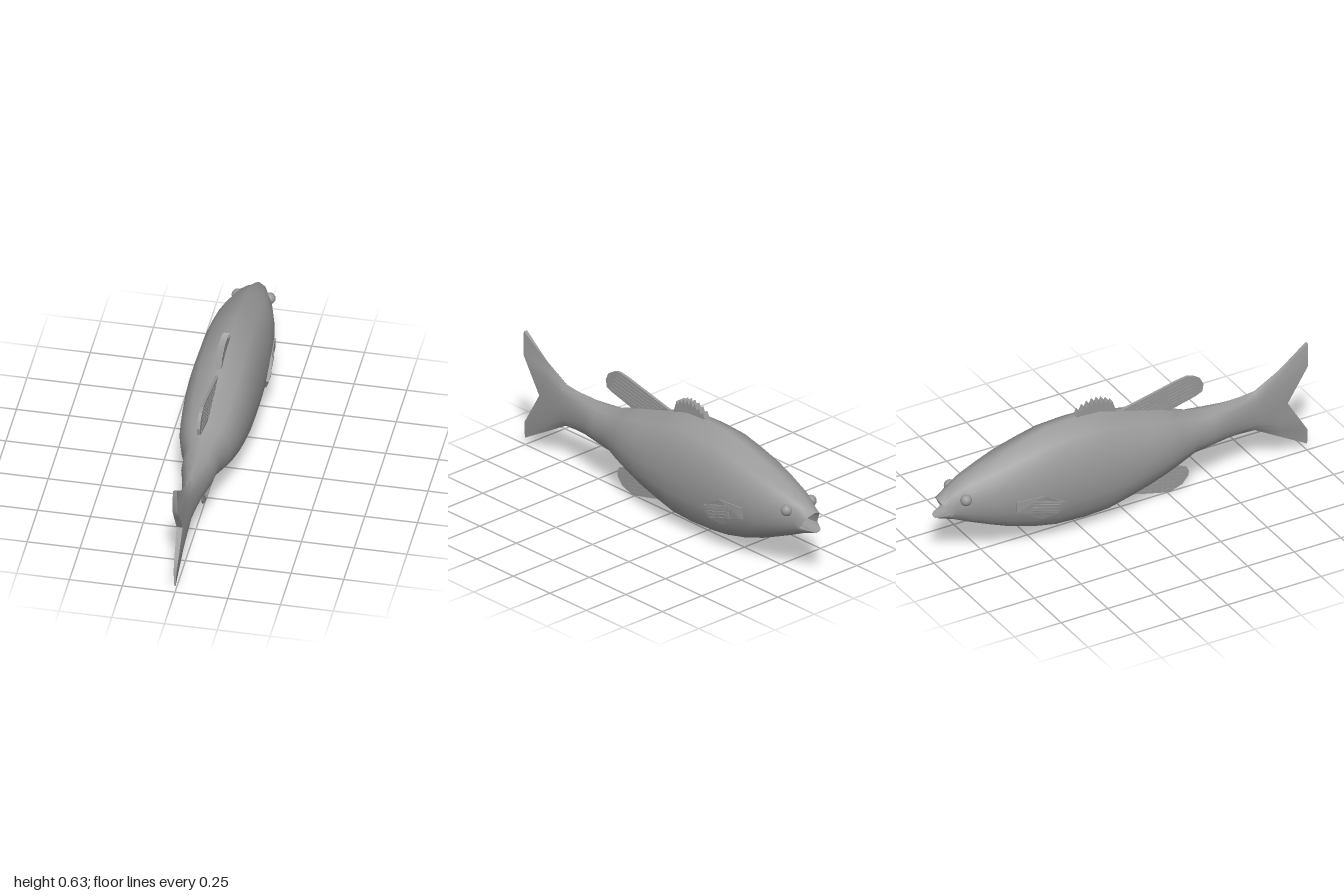
import * as THREE from 'three';
import { toCreasedNormals } from 'three/addons/utils/BufferGeometryUtils.js';

const grey = new THREE.MeshStandardMaterial({ color: 0x999999 });
grey.name = 'grey';

function add(parent, name, geometry) {
  const mesh = new THREE.Mesh(geometry, grey);
  mesh.name = name;
  parent.add(mesh);
  return mesh;
}

// Half a cross-section, bottom to top: [relative width, relative height]
const SECTION = [[0.08, -1], [0.6, -0.82], [0.82, -0.6], [0.95, -0.33], [1, 0],
  [0.95, 0.33], [0.82, 0.6], [0.6, 0.82], [0.08, 1]];

// Body stations: [z, bottom y, top y, half width]
const STATIONS = [
  [-0.915, 0.225, 0.39, 0.068], [-0.84, 0.19, 0.43, 0.097], [-0.74, 0.147, 0.467, 0.125],
  [-0.64, 0.105, 0.503, 0.144], [-0.52, 0.065, 0.538, 0.155], [-0.4, 0.037, 0.568, 0.161],
  [-0.25, 0.03, 0.576, 0.164], [-0.12, 0.037, 0.57, 0.164], [0, 0.072, 0.532, 0.16],
  [0.1, 0.102, 0.503, 0.152], [0.2, 0.135, 0.475, 0.138], [0.28, 0.163, 0.445, 0.117],
  [0.37, 0.192, 0.413, 0.085], [0.46, 0.203, 0.402, 0.078], [0.55, 0.206, 0.4, 0.055],
  [0.64, 0.205, 0.403, 0.04], [0.72, 0.2, 0.412, 0.03], [0.85, 0.125, 0.485, 0.02],
];

// Open lips: the lower jaw juts out, the upper lip slants forward from the corner
const LIPS = [[0.004, 0.255, -1], [0.02, 0.261, -1], [0.032, 0.266, -0.985],
  [0.045, 0.268, -0.955], [0.056, 0.269, -0.935], [0.053, 0.29, -0.947],
  [0.047, 0.315, -0.96], [0.036, 0.336, -0.975], [0.006, 0.35, -0.985]];

// Forked trailing edge of the tail
const FORK = [[0.003, 0.04, 1], [0.007, 0.12, 1], [0.01, 0.18, 0.963], [0.012, 0.24, 0.926],
  [0.014, 0.3, 0.89], [0.014, 0.357, 0.926], [0.013, 0.413, 0.963], [0.012, 0.47, 1], [0.01, 0.59, 1]];

function bodyGeometry() {
  const throat = LIPS.map(([x, y]) => [x * 0.7, 0.288 + (y - 0.288) * 0.6, -0.88]);
  const halves = [throat, LIPS];
  for (const [z, low, high, w] of STATIONS) {
    const mid = (low + high) / 2, h = (high - low) / 2;
    halves.push(SECTION.map(([fx, fy]) => [fx * w, mid + fy * h, z]));
  }
  halves.push(FORK);

  const n = 18, points = [], index = [];
  for (const half of halves) {
    points.push(...half.flat());
    points.push(...half.slice().reverse().map(([x, y, z]) => [-x, y, z]).flat());
  }
  for (let k = 0; k < halves.length - 1; k++) {
    for (let i = 0; i < n; i++) {
      const a = k * n + i, b = k * n + (i + 1) % n;
      index.push(a, b, a + n, b, b + n, a + n);
    }
  }
  // Close the throat and the tail edge across the middle
  const last = (halves.length - 1) * n;
  for (let i = 0; i < 8; i++) {
    const j = n - 1 - i;
    index.push(last + i, last + i + 1, last + j - 1, last + i, last + j - 1, last + j);
    index.push(i, j - 1, i + 1, i, j, j - 1);
  }
  const g = new THREE.BufferGeometry();
  g.setAttribute('position', new THREE.Float32BufferAttribute(points, 3));
  g.setIndex(index);
  return toCreasedNormals(g, 0.75);
}

// Upright plate from a [z, y] outline, centred on x = 0
function plate(outline, thickness) {
  const shape = new THREE.Shape(outline.map(([z, y]) => new THREE.Vector2(z, y)));
  const g = new THREE.ExtrudeGeometry(shape, { depth: thickness, bevelEnabled: false });
  return g.translate(0, 0, -thickness / 2).rotateY(-Math.PI / 2);
}

// Thin fin ray between two [z, y] points
function ray([z1, y1], [z2, y2], thickness) {
  const g = new THREE.BoxGeometry(Math.hypot(z2 - z1, y2 - y1), 0.007, thickness);
  g.rotateZ(Math.atan2(y2 - y1, z2 - z1));
  return g.translate((z1 + z2) / 2, (y1 + y2) / 2, 0).rotateY(-Math.PI / 2);
}

// Plate with evenly fanned rays; roots and tips are each a pair of end points
function rayedFin(parent, name, outline, thickness, roots, tips, count, bend = (g) => g) {
  const fin = new THREE.Group();
  fin.name = name;
  add(fin, name + 'Web', bend(plate(outline, thickness)));
  const mix = ([a, b], t) => [a[0] + (b[0] - a[0]) * t, a[1] + (b[1] - a[1]) * t];
  for (let i = 0; i < count; i++) {
    const t = i / (count - 1);
    add(fin, name + 'Ray', bend(ray(mix(roots, t), mix(tips, t), thickness + 0.005)));
  }
  parent.add(fin);
}

export function createModel() {
  const fish = new THREE.Group();
  fish.name = 'fish';
  add(fish, 'body', bodyGeometry());

  // Spiny front dorsal fin with a saw-toothed crest
  const crest = new THREE.QuadraticBezierCurve(
    new THREE.Vector2(-0.04, 0.585), new THREE.Vector2(-0.13, 0.665), new THREE.Vector2(-0.245, 0.588));
  const spiny = [[-0.26, 0.55], [-0.03, 0.5], [-0.03, 0.54]];
  for (let i = 0; i <= 16; i++) {
    const p = crest.getPoint(i / 16);
    spiny.push([p.x, p.y + (i % 2 ? 0.01 : -0.014)]);
  }
  add(fish, 'spinyDorsalFin', plate(spiny, 0.03));

  // Soft rear dorsal fin and anal fin
  rayedFin(fish, 'rearDorsalFin',
    [[0, 0.5], [0.21, 0.44], [0.4, 0.488], [0.435, 0.503], [0.442, 0.54], [0.425, 0.575],
      [0.39, 0.597], [0.355, 0.606], [0.3, 0.598], [0, 0.53]],
    0.014, [[0.17, 0.465], [0.05, 0.525]], [[0.41, 0.505], [0.36, 0.59]], 6);
  rayedFin(fish, 'analFin',
    [[0, 0.07], [0.12, 0.038], [0.26, 0.004], [0.33, 0.028], [0.362, 0.065], [0.366, 0.09],
      [0.352, 0.115], [0.3, 0.134], [0.2, 0.16], [0, 0.12]],
    0.008, [[0.05, 0.068], [0.17, 0.13]], [[0.27, 0.018], [0.345, 0.1]], 6);

  // Side fins sheared to hug the flanks, and the eyes
  for (const side of [1, -1]) {
    const name = side > 0 ? 'left' : 'right';
    const hug = (g) => {
      const p = g.attributes.position;
      for (let i = 0; i < p.count; i++) {
        const drop = Math.max(0, 0.24 - p.getY(i)) * 0.3;
        p.setX(i, p.getX(i) + side * (0.157 + (p.getZ(i) + 0.4) * 0.09 - drop));
      }
      g.computeVertexNormals();
      return g;
    };
    rayedFin(fish, name + 'PectoralFin',
      [[-0.64, 0.245], [-0.5, 0.165], [-0.42, 0.175], [-0.385, 0.235], [-0.5, 0.302], [-0.64, 0.302]],
      0.028, [[-0.56, 0.22], [-0.56, 0.285]], [[-0.43, 0.18], [-0.41, 0.245]], 5, hug);

    const eye = add(fish, name + 'Eye', new THREE.SphereGeometry(0.028, 16, 10));
    eye.position.set(side * 0.076, 0.35, -0.872);
  }
  return fish;
}
